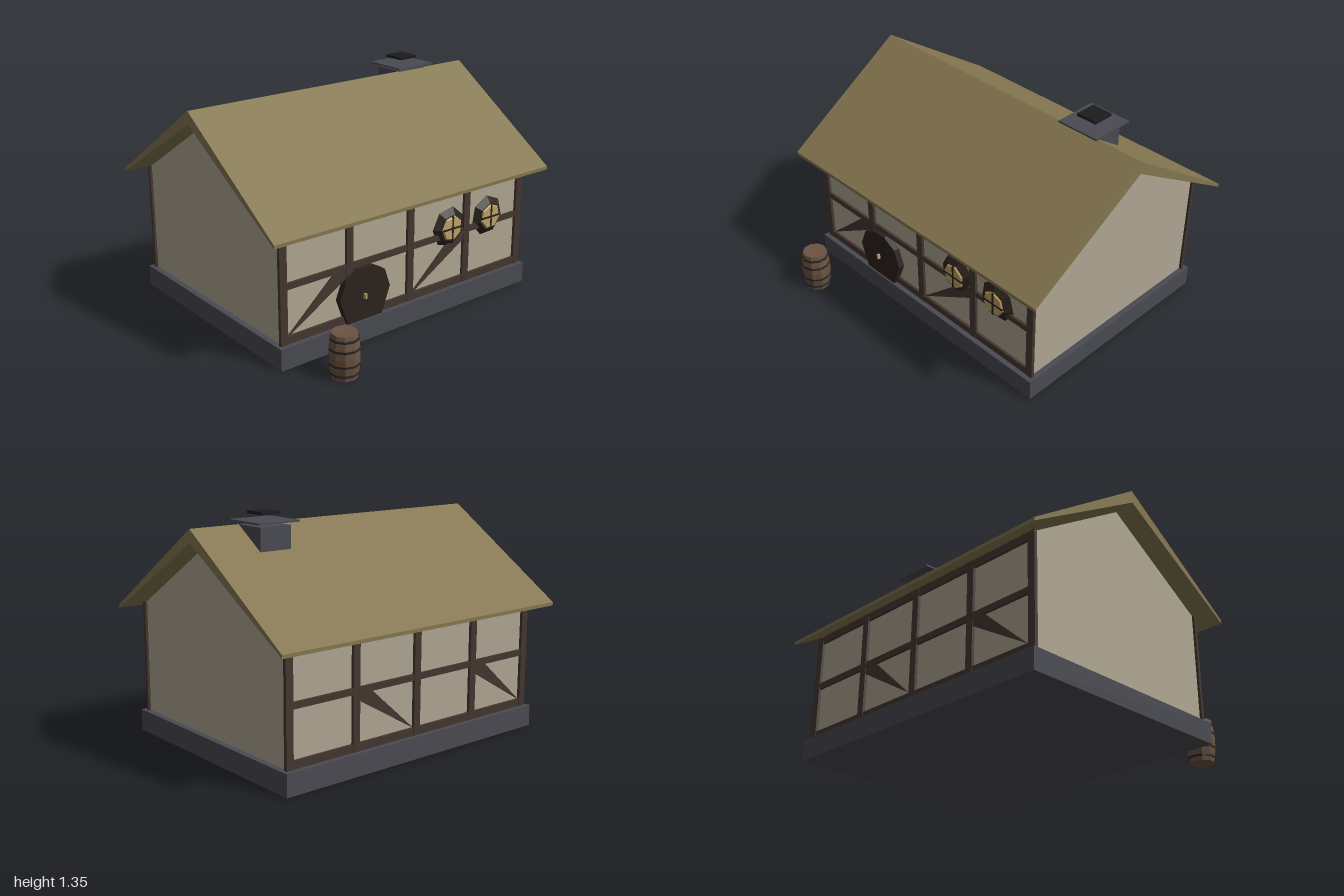
import * as THREE from 'three';

const mat = (color) => new THREE.MeshStandardMaterial({ color, flatShading: true });
const thatch = mat(0x857750), plaster = mat(0xb0a793), stone = mat(0x4a4b52);
const timber = mat(0x45372f), darkWood = mat(0x2b231d), gold = mat(0xc0a468);
const barrelWood = mat(0x6b5442), iron = mat(0x2a2622), soot = mat(0x1c1b1e);

const MID = -0.125; // depth of the ridge line

function add(parent, name, geometry, material, x = 0, y = 0, z = 0) {
  const mesh = new THREE.Mesh(geometry, material);
  mesh.name = name;
  mesh.position.set(x, y, z);
  parent.add(mesh);
  return mesh;
}

const box = (parent, name, material, w, h, d, x, y, z) =>
  add(parent, name, new THREE.BoxGeometry(w, h, d), material, x, y, z);

const shape = (points) => new THREE.Shape(points.map(([x, y]) => new THREE.Vector2(x, y)));

// Side profile [offset from ridge, y] extruded along x
function profileAlongX(points, length) {
  const geo = new THREE.ExtrudeGeometry(shape(points), { depth: length, bevelEnabled: false });
  return geo.translate(0, 0, -length / 2).rotateY(Math.PI / 2);
}

// Low dome facing +z: a many-sided plate whose front is narrower than its back
function plate(sides, rBack, rFront, depth, turn) {
  return new THREE.CylinderGeometry(rFront, rBack, depth, sides).rotateX(Math.PI / 2).rotateZ(turn);
}

// Timber framing of one long wall, facing +z
function timberFrame() {
  const g = new THREE.Group();
  for (let i = 0; i < 5; i++) box(g, 'post', timber, 0.046, 0.655, 0.02, -0.877 + i * 0.4385, 0.4525, 0);
  for (const [y, h] of [[0.148, 0.045], [0.455, 0.036], [0.757, 0.045]])
    box(g, 'rail', timber, 1.8, h, 0.016, 0, y, 0);
  return g;
}

// Tapered diagonal brace, thin at its foot
function brace(parent, x, z) {
  const s = shape([[x, 0.175], [x + 0.385, 0.4], [x + 0.385, 0.44], [x + 0.3, 0.44]]);
  add(parent, 'brace', new THREE.ExtrudeGeometry(s, { depth: 0.014, bevelEnabled: false }), timber, 0, 0, z);
}

function addWindow(parent, x, turn) {
  const g = new THREE.Group();
  g.name = 'window';
  g.position.set(x, 0.5, 0.55);
  add(g, 'windowFrame', plate(7, 0.124, 0.085, 0.03, turn), darkWood);
  add(g, 'windowPane', plate(7, 0.082, 0.07, 0.012, turn), gold, 0, 0, 0.017);
  box(g, 'verticalBar', darkWood, 0.012, 0.15, 0.008, 0, 0, 0.021);
  box(g, 'crossBar', darkWood, 0.15, 0.012, 0.008, 0, 0, 0.021);
  parent.add(g);
}

function addBarrel(parent) {
  const g = new THREE.Group();
  g.name = 'barrel';
  g.position.set(-0.687, 0, 0.815);
  const profile = [[0, 0], [0.072, 0], [0.083, 0.07], [0.086, 0.127], [0.083, 0.185], [0.072, 0.255], [0, 0.25]];
  add(g, 'staves', new THREE.LatheGeometry(profile.map((p) => new THREE.Vector2(...p)), 10), barrelWood);
  for (const [y, r] of [[0.03, 0.081], [0.085, 0.087], [0.17, 0.087], [0.225, 0.081]])
    add(g, 'hoop', new THREE.CylinderGeometry(r, r, 0.012, 10), iron, 0, y, 0);
  parent.add(g);
}

export function createModel() {
  const model = new THREE.Group();
  model.name = 'cottage';

  // Stone base and plastered body with gables
  box(model, 'foundation', stone, 1.84, 0.125, 1.41, 0, 0.0625, MID);
  const body = [[-0.66, 0.125], [0.66, 0.125], [0.66, 0.78], [0, 1.19], [-0.66, 0.78]];
  add(model, 'walls', profileAlongX(body, 1.77), plaster, 0, 0, MID);

  // Roof, thicker at the ridge than at the eaves
  const roof = [[-0.78, 0.737], [0, 1.2], [0.78, 0.737], [0.78, 0.757], [0, 1.275], [-0.78, 0.757]];
  add(model, 'roof', profileAlongX(roof, 2), thatch, 0, 0, MID);

  // Chimney with two flat cap slabs
  box(model, 'chimney', stone, 0.2, 0.235, 0.2, 0.59, 1.1575, -0.22);
  box(model, 'chimneyCap', stone, 0.27, 0.01, 0.27, 0.59, 1.297, -0.22);
  box(model, 'chimneyTop', soot, 0.13, 0.016, 0.13, 0.59, 1.341, -0.22);

  // Framing on both long walls
  for (const [name, z] of [['frontFrame', 0.542], ['backFrame', -0.792]]) {
    const frame = timberFrame();
    frame.name = name;
    frame.position.z = z;
    for (const x of [-0.84, 0.03]) brace(frame, x, -0.007);
    model.add(frame);
  }

  // Door with handle
  const door = shape([[-0.47, 0.128], [-0.23, 0.128], [-0.172, 0.28], [-0.21, 0.39], [-0.3, 0.44],
    [-0.39, 0.435], [-0.48, 0.39], [-0.525, 0.28]]);
  add(model, 'door', new THREE.ExtrudeGeometry(door, { depth: 0.04, bevelEnabled: false }), darkWood, 0, 0, 0.533);
  box(model, 'doorHandle', gold, 0.012, 0.03, 0.018, -0.355, 0.27, 0.582);

  addWindow(model, 0.305, 0.2);
  addWindow(model, 0.62, 0.5);
  addBarrel(model);
  return model;
}
